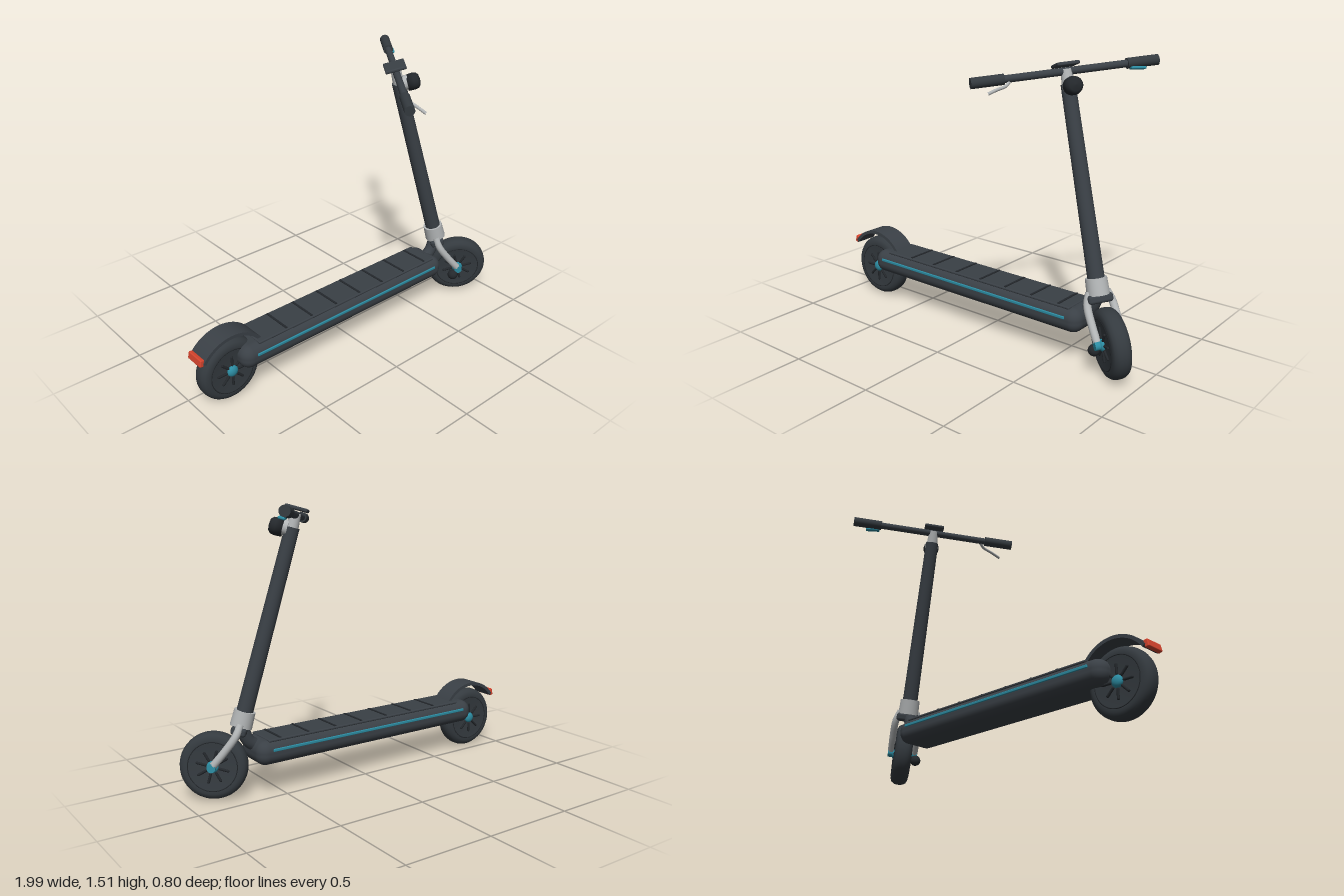
import * as THREE from 'three';
import { RoundedBoxGeometry } from 'three/addons/geometries/RoundedBoxGeometry.js';

export function createModel() {
  const model = new THREE.Group();
  model.name = 'kickScooter';
  const mat = (name, hex) => {
    const m = new THREE.MeshStandardMaterial({ color: hex });
    m.name = name;
    return m;
  };
  const body = mat('charcoal', 0x3a4046);
  const rubber = mat('rubber', 0x343a3f);
  const black = mat('black', 0x24282c);
  const silver = mat('silver', 0xb2b5b6);
  const teal = mat('teal', 0x2c8ca2);
  const red = mat('red', 0xd8452e);

  const add = (parent, name, geo, material, x = 0, y = 0, z = 0) => {
    const mesh = new THREE.Mesh(geo, material);
    mesh.name = name;
    mesh.position.set(x, y, z);
    parent.add(mesh);
    return mesh;
  };
  const vec = (p) => new THREE.Vector3(...p);
  const tube = (pts, r) => new THREE.TubeGeometry(new THREE.CatmullRomCurve3(pts.map(vec)), 20, r, 16);
  const cylZ = (r, h) => new THREE.CylinderGeometry(r, r, h, 32).rotateX(Math.PI / 2);

  // Wheel with its axle along z: tyre, side rings, spokes and hub caps
  const makeWheel = (name) => {
    const wheel = new THREE.Group();
    wheel.name = name;
    const half = [[0, 0.041], [0.09, 0.043], [0.125, 0.049], [0.145, 0.048], [0.161, 0.041], [0.171, 0.027], [0.175, 0.011]];
    const profile = [
      ...half.map(([r, z]) => new THREE.Vector2(r, -z)),
      ...half.slice().reverse().map(([r, z]) => new THREE.Vector2(r, z)),
    ];
    add(wheel, 'tyre', new THREE.LatheGeometry(profile, 56).rotateX(Math.PI / 2), rubber);
    for (const s of [-1, 1]) {
      add(wheel, 'sideRing', new THREE.TorusGeometry(0.127, 0.003, 6, 48), black, 0, 0, s * 0.048);
      for (let i = 0; i < 8; i++) {
        const a = (i * Math.PI) / 4;
        const spoke = add(wheel, 'spoke', new THREE.CapsuleGeometry(0.007, 0.045, 4, 8), black,
          Math.cos(a) * 0.06, Math.sin(a) * 0.06, s * 0.046);
        spoke.rotation.z = a - Math.PI / 2;
      }
      const cap = add(wheel, 'hubCap', new THREE.SphereGeometry(0.031, 24, 16), teal, 0, 0, s * 0.046);
      cap.scale.z = 0.6;
    }
    return wheel;
  };

  // Deck with grip mat, ribs and side strips
  const deckZ = 0.093;
  add(model, 'deck', new RoundedBoxGeometry(1.44, 0.13, 0.236, 6, 0.058), body, -0.055, 0.24, deckZ);
  add(model, 'gripMat', new RoundedBoxGeometry(1.27, 0.014, 0.185, 2, 0.006), body, -0.035, 0.304, deckZ);
  for (let i = 0; i < 7; i++) {
    add(model, 'matRib', new THREE.BoxGeometry(0.012, 0.006, 0.17), black, -0.49 + i * 0.17, 0.312, deckZ);
  }
  for (const s of [-1, 1]) {
    add(model, 'sideStrip', new RoundedBoxGeometry(1.29, 0.016, 0.009, 2, 0.004), teal, -0.055, 0.262, deckZ + s * 0.119);
  }
  add(model, 'neckBracket', tube([[0.6, 0.25, deckZ], [0.67, 0.3, deckZ], [0.71, 0.39, deckZ]], 0.034), body);

  // Rear wheel, fender and tail light
  const rear = makeWheel('rearWheel');
  rear.position.set(-0.81, 0.177, deckZ);
  model.add(rear);
  const arc = new THREE.Shape();
  const a0 = THREE.MathUtils.degToRad(36), a1 = THREE.MathUtils.degToRad(145);
  arc.absarc(0, 0, 0.213, a0, a1, false);
  arc.absarc(0, 0, 0.195, a1, a0, true);
  add(model, 'rearFender', new THREE.ExtrudeGeometry(arc, { depth: 0.12, bevelEnabled: false, curveSegments: 32 }),
    body, -0.807, 0.185, deckZ - 0.06);
  const tail = add(model, 'tailLight', new RoundedBoxGeometry(0.024, 0.04, 0.11, 3, 0.006), red, -0.985, 0.312, deckZ);
  tail.rotation.z = -0.2;

  // Steering assembly: local x forward, y along the stem, z to the rider's right
  const steer = new THREE.Group();
  steer.name = 'steering';
  const up = vec([-0.259, 0.962, -0.087]).normalize();
  const fwd = up.clone().cross(vec([-0.593, -0.0855, 0.801])).normalize();
  const side = fwd.clone().cross(up);
  steer.quaternion.setFromRotationMatrix(new THREE.Matrix4().makeBasis(fwd, up, side));
  steer.position.set(0.6925, 0.447, 0.088);
  model.add(steer);

  // Stem and collars
  add(steer, 'stem', new THREE.CylinderGeometry(0.037, 0.043, 0.98, 32), body, 0, 0.482);
  add(steer, 'lowerCollar', new THREE.CylinderGeometry(0.055, 0.058, 0.085, 32), silver, 0, -0.025);
  add(steer, 'forkCrown', new RoundedBoxGeometry(0.08, 0.045, 0.13, 3, 0.015), body, 0, -0.085);
  add(steer, 'upperCollar', new THREE.CylinderGeometry(0.027, 0.032, 0.08, 24), silver, 0, 1.005);

  // Front wheel and fork
  const front = makeWheel('frontWheel');
  front.position.set(0.083, -0.297, 0);
  steer.add(front);
  for (const s of [-1, 1]) {
    add(steer, 'forkBlade', tube([[0, -0.05, s * 0.045], [0.006, -0.11, s * 0.066], [0.04, -0.2, s * 0.069],
      [0.078, -0.283, s * 0.067]], 0.02), silver);
    add(steer, 'axleCap', cylZ(0.022, 0.03), teal, 0.083, -0.297, s * 0.07);
  }
  add(steer, 'brakeCaliper', new THREE.SphereGeometry(0.03, 20, 14), black, 0.045, -0.323, 0.078);

  // Handlebar, grips and display
  add(steer, 'handlebar', cylZ(0.019, 0.8), body, 0, 1.035);
  for (const s of [-1, 1]) {
    add(steer, 'grip', cylZ(0.027, 0.165), rubber, 0, 1.035, s * 0.398);
  }
  add(steer, 'display', new RoundedBoxGeometry(0.115, 0.018, 0.115, 3, 0.007), body, 0, 1.068);

  // Brake lever on the right, thumb throttle on the left
  add(steer, 'brakeLever', tube([[0, 1.02, 0.29], [0.02, 1.0, 0.315], [0.05, 0.985, 0.37], [0.08, 0.968, 0.424]], 0.008), silver);
  const thumb = add(steer, 'thumbThrottle', new RoundedBoxGeometry(0.035, 0.014, 0.08, 3, 0.006), teal, 0.015, 1.005, -0.365);
  thumb.rotation.x = -0.1;

  // Headlight on a silver bracket
  add(steer, 'lightBracket', new THREE.CylinderGeometry(0.04, 0.04, 0.03, 28).rotateZ(Math.PI / 2), silver, 0.035, 0.962);
  const lamp = [[0, -0.03], [0.044, -0.03], [0.046, 0.005], [0.042, 0.026], [0.03, 0.038], [0, 0.043]];
  add(steer, 'headlight', new THREE.LatheGeometry(lamp.map(([r, y]) => new THREE.Vector2(r, y)), 32).rotateZ(-Math.PI / 2),
    black, 0.073, 0.957);

  return model;
}
